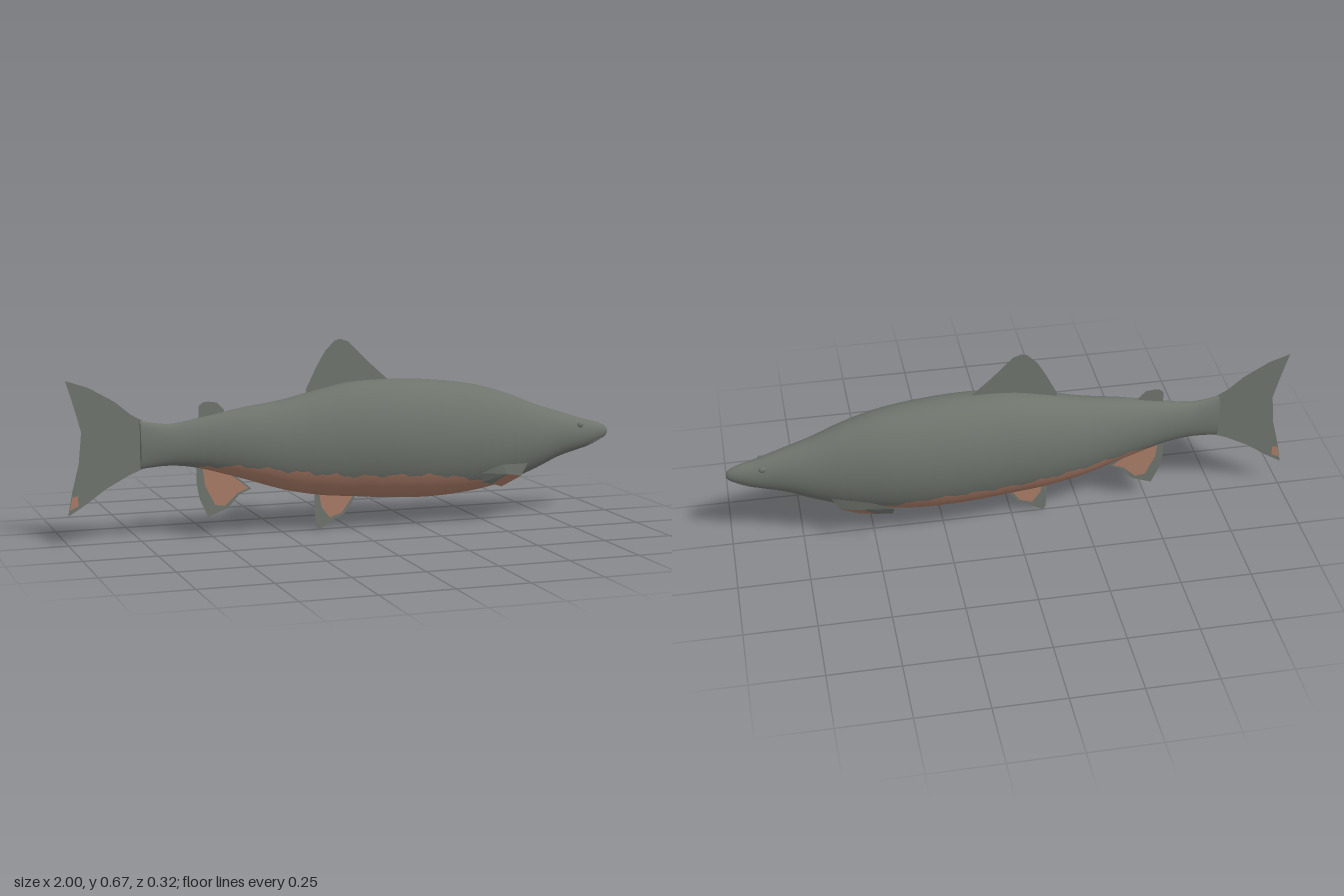
import * as THREE from 'three';

const grey = new THREE.MeshStandardMaterial({ name: 'greySkin', color: 0x6e736c, side: THREE.DoubleSide });
const copper = new THREE.MeshStandardMaterial({ name: 'copperBelly', color: 0xa87b66, side: THREE.DoubleSide });

// Body stations: x, top y, bottom y, half width, belly colour line y
const stations = [
  [-0.75, 0.415, 0.25, 0.02, 0.2], [-0.65, 0.4, 0.256, 0.03, 0.22],
  [-0.55, 0.415, 0.243, 0.045, 0.246], [-0.4, 0.443, 0.2, 0.075, 0.248],
  [-0.25, 0.465, 0.152, 0.1, 0.228], [-0.12, 0.495, 0.125, 0.118, 0.212],
  [0, 0.518, 0.113, 0.131, 0.2], [0.15, 0.523, 0.1, 0.142, 0.197],
  [0.3, 0.515, 0.095, 0.142, 0.188], [0.45, 0.495, 0.106, 0.13, 0.16],
  [0.58, 0.46, 0.13, 0.106, 0.138], [0.7, 0.413, 0.17, 0.08, 0.1],
  [0.8, 0.38, 0.212, 0.058, 0.1], [0.9, 0.348, 0.24, 0.038, 0.1],
  [0.96, 0.332, 0.263, 0.025, 0.1], [0.99, 0.318, 0.277, 0.014, 0.1],
  [1, 0.306, 0.288, 0.006, 0.1],
];
const curves = [1, 2, 3, 4].map(k =>
  new THREE.SplineCurve(stations.map(s => new THREE.Vector2(s[0], s[k]))));

// Lofted oval body; the first columns of every ring follow the belly line
function buildBody() {
  const rings = 160, bellyCols = 16, cols = 64;
  const pos = [], backIdx = [], bellyIdx = [];
  for (let i = 0; i <= rings; i++) {
    const p = curves.map(c => c.getPoint(i / rings));
    const x = p[0].x, [top, bottom, w, line] = p.map(v => v.y);
    const c = (top + bottom) / 2, h = (top - bottom) / 2;
    const ragged = line + 0.005 * Math.sin(x * 55) + 0.003 * Math.sin(x * 131);
    const edge = Math.max(0.12, Math.acos(THREE.MathUtils.clamp((c - ragged) / h, -1, 1)));
    for (let j = 0; j < cols; j++) {
      const a = j <= bellyCols
        ? edge * (2 * j / bellyCols - 1)
        : edge + (2 * Math.PI - 2 * edge) * (j - bellyCols) / (cols - bellyCols);
      pos.push(x, c - h * Math.cos(a), w * Math.sin(a));
    }
    if (i === rings) break;
    for (let j = 0; j < cols; j++) {
      const k = (j + 1) % cols, a = i * cols + j, b = i * cols + k;
      const list = j < bellyCols && x > -0.56 && x < 0.58 ? bellyIdx : backIdx;
      list.push(a, a + cols, b, b, a + cols, b + cols);
    }
  }
  const g = new THREE.BufferGeometry();
  g.setAttribute('position', new THREE.Float32BufferAttribute(pos, 3));
  g.setIndex([...backIdx, ...bellyIdx]);
  g.addGroup(0, backIdx.length, 0);
  g.addGroup(backIdx.length, bellyIdx.length, 1);
  g.computeVertexNormals();
  const mesh = new THREE.Mesh(g, [grey, copper]);
  mesh.name = 'body';
  return mesh;
}

// Flat fin outline in the middle plane
function flat(name, pts, material, z = 0) {
  const shape = new THREE.Shape(pts.map(p => new THREE.Vector2(...p)));
  const mesh = new THREE.Mesh(new THREE.ShapeGeometry(shape), material);
  mesh.position.z = z;
  mesh.name = name;
  return mesh;
}

// Fin with a copper patch on each side
function patchedFin(name, outline, patch) {
  const fin = new THREE.Group();
  fin.name = name;
  fin.add(flat(name + 'Web', outline, grey));
  for (const s of [-1, 1]) fin.add(flat(name + 'Patch', patch, copper, s * 0.002));
  return fin;
}

// Folded side fin made from a fan of triangles
function fan(name, pts, material) {
  const pos = [];
  for (let i = 1; i < pts.length - 1; i++) pos.push(...pts[0], ...pts[i], ...pts[i + 1]);
  const g = new THREE.BufferGeometry();
  g.setAttribute('position', new THREE.Float32BufferAttribute(pos, 3));
  g.computeVertexNormals();
  const mesh = new THREE.Mesh(g, material);
  mesh.name = name;
  return mesh;
}

function ball(name, center, radii, tilt = 0) {
  const mesh = new THREE.Mesh(new THREE.SphereGeometry(1, 20, 12), grey);
  mesh.position.set(...center);
  mesh.scale.set(...radii);
  mesh.rotation.z = tilt;
  mesh.name = name;
  return mesh;
}

function endCap(name, x, y, w, h, turn) {
  const cap = new THREE.Mesh(new THREE.CircleGeometry(1, 32), grey);
  cap.position.set(x, y, 0);
  cap.scale.set(w, h, 1);
  cap.rotation.y = turn;
  cap.name = name;
  return cap;
}

export function createModel() {
  const fish = new THREE.Group();
  fish.name = 'fish';
  fish.add(buildBody());
  fish.add(endCap('tailRoot', -0.75, 0.3325, 0.02, 0.0825, -Math.PI / 2));
  fish.add(endCap('noseTip', 1, 0.297, 0.006, 0.009, Math.PI / 2));

  // Head details
  fish.add(ball('lowerJaw', [0.935, 0.262, 0], [0.062, 0.01, 0.02], 0.4));
  for (const s of [-1, 1]) {
    fish.add(ball(s > 0 ? 'rightEye' : 'leftEye', [0.875, 0.33, s * 0.035], [0.014, 0.011, 0.008]));
  }

  // Upper fins
  fish.add(flat('dorsalFin', [[-0.16, 0.48], [-0.16, 0.5], [-0.12, 0.58], [-0.09, 0.63], [-0.055, 0.665],
    [-0.035, 0.67], [-0.005, 0.66], [0.065, 0.59], [0.14, 0.523], [0.05, 0.5]], grey));
  fish.add(flat('adiposeFin', [[-0.545, 0.41], [-0.545, 0.455], [-0.53, 0.468], [-0.51, 0.47],
    [-0.48, 0.466], [-0.455, 0.44], [-0.46, 0.42]], grey));

  // Tail fin
  fish.add(patchedFin('tailFin',
    [[-0.74, 0.25], [-0.79, 0.23], [-0.87, 0.187], [-0.94, 0.137], [-1, 0.1], [-0.985, 0.18], [-0.96, 0.28],
      [-0.95, 0.385], [-0.97, 0.46], [-1, 0.56], [-0.925, 0.535], [-0.835, 0.483], [-0.78, 0.437], [-0.74, 0.415]],
    [[-0.995, 0.12], [-0.965, 0.135], [-0.965, 0.17], [-0.985, 0.165]]));

  // Lower fins
  fish.add(patchedFin('analFin',
    [[-0.555, 0.26], [-0.555, 0.19], [-0.545, 0.135], [-0.515, 0.07], [-0.445, 0.095], [-0.405, 0.14],
      [-0.36, 0.16], [-0.42, 0.21], [-0.47, 0.25]],
    [[-0.535, 0.25], [-0.525, 0.18], [-0.49, 0.11], [-0.455, 0.105], [-0.41, 0.148], [-0.37, 0.163],
      [-0.425, 0.205], [-0.47, 0.24]]));
  fish.add(patchedFin('pelvicFin',
    [[-0.13, 0.14], [-0.13, 0.08], [-0.125, 0.01], [-0.115, 0], [-0.075, 0.022], [-0.02, 0.05],
      [0.01, 0.09], [0.03, 0.13]],
    [[-0.115, 0.135], [-0.105, 0.08], [-0.075, 0.04], [-0.03, 0.055], [-0.005, 0.09], [0.02, 0.125]]));

  // Paired pectoral fins with a copper lower corner
  for (const s of [-1, 1]) {
    const side = s > 0 ? 'right' : 'left';
    const at = (x, y, z) => [x, y, s * z];
    fish.add(fan(side + 'PectoralFin', [at(0.55, 0.18, 0.125), at(0.62, 0.165, 0.09), at(0.65, 0.207, 0.078),
      at(0.53, 0.217, 0.136), at(0.48, 0.208, 0.15), at(0.44, 0.194, 0.158), at(0.445, 0.158, 0.136),
      at(0.5, 0.145, 0.11)], grey));
    fish.add(fan(side + 'PectoralCorner', [at(0.55, 0.18, 0.125), at(0.5, 0.145, 0.11), at(0.55, 0.127, 0.075),
      at(0.62, 0.165, 0.09)], copper));
  }
  return fish;
}
